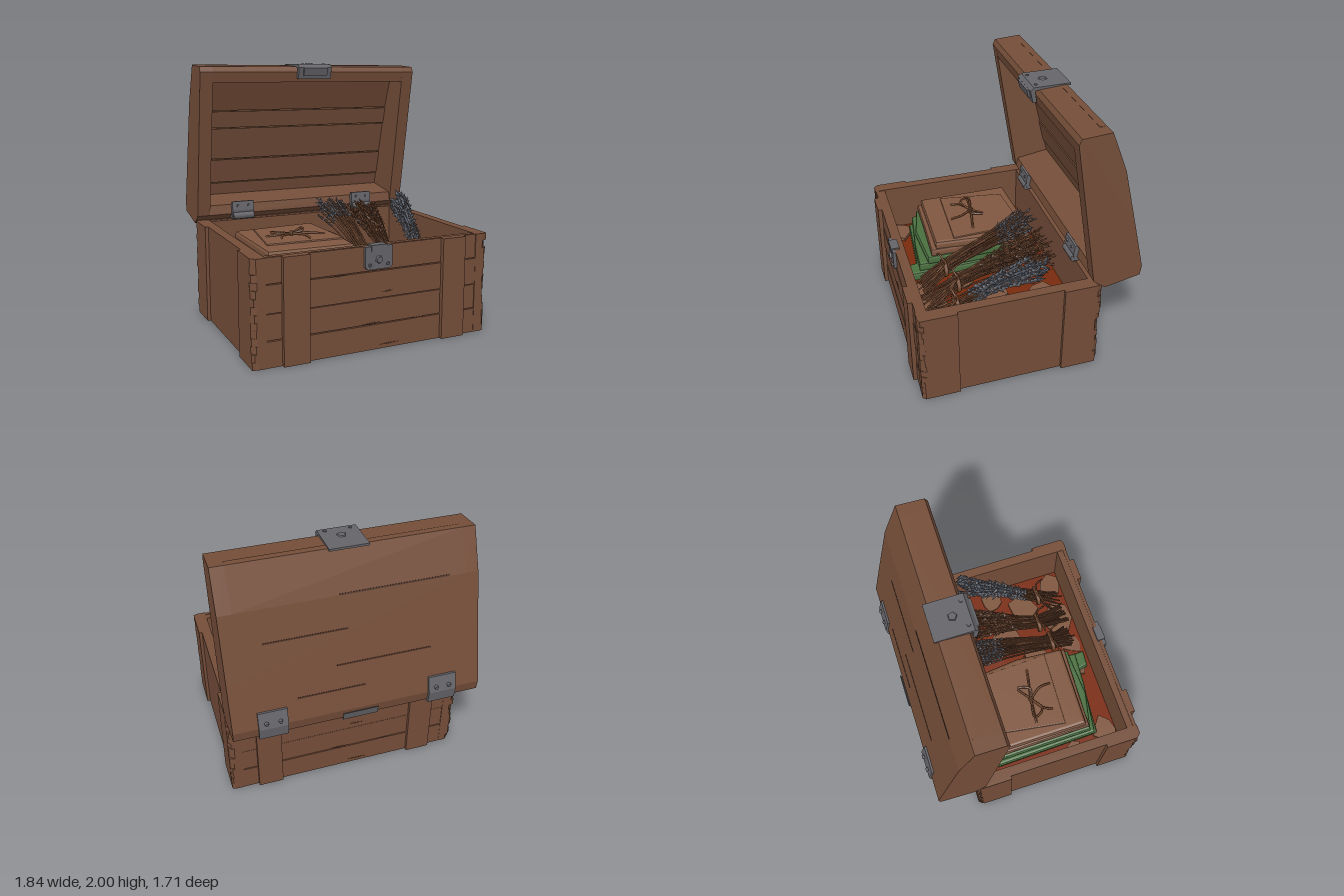
import * as THREE from 'three';
import { mergeGeometries } from 'three/addons/utils/BufferGeometryUtils.js';

const mat = (name, color) => Object.assign(new THREE.MeshStandardMaterial({ color }), { name });

export function createModel() {
  const wood = mat('wood', 0x754e39), darkWood = mat('crackedWood', 0x4a2f21);
  const metal = mat('iron', 0x65656a), paper = mat('wrappingPaper', 0x805740);
  const green = mat('greenCloth', 0x4b7040), red = mat('redLining', 0x7a2a0c);
  const stemMat = mat('driedStems', 0x68432e), flowerMat = mat('greyFlowers', 0x626874);
  const twine = mat('twine', 0x74492f);
  const root = new THREE.Group();
  root.name = 'openChest';

  let seed = 7;
  const rnd = () => (seed = (seed * 16807) % 2147483647) / 2147483647;
  const jit = (a) => (rnd() - 0.5) * 2 * a;
  const V = (x, y, z) => new THREE.Vector3(x, y, z);

  const group = (name, parent = root) => {
    const g = new THREE.Group();
    g.name = name;
    parent.add(g);
    return g;
  };
  const add = (parent, name, geo, m) => {
    const mesh = new THREE.Mesh(geo, m);
    mesh.name = name;
    parent.add(mesh);
    return mesh;
  };
  // box from its limits
  const box = (x0, x1, y0, y1, z0, z1) => new THREE.BoxGeometry(x1 - x0, y1 - y0, z1 - z0)
    .translate((x0 + x1) / 2, (y0 + y1) / 2, (z0 + z1) / 2);
  const shapeOf = (pts) => new THREE.Shape(pts.map(([a, b]) => new THREE.Vector2(a, b)));
  // [z, y] profile swept along x
  const prism = (pts, x0, x1) => new THREE.ExtrudeGeometry(shapeOf(pts.map(([z, y]) => [-z, y])),
    { depth: x1 - x0, bevelEnabled: false }).rotateY(Math.PI / 2).translate(x0, 0, 0);
  // [x, z] outline raised from y0 to y1
  const slab = (pts, y0, y1, bevel = 0) => new THREE.ExtrudeGeometry(shapeOf(pts.map(([x, z]) => [x, -z])),
    { depth: y1 - y0 - 2 * bevel, bevelEnabled: bevel > 0, bevelSize: bevel, bevelThickness: bevel, bevelOffset: -bevel, bevelSegments: 2 })
    .rotateX(-Math.PI / 2).translate(0, y0 + bevel, 0);
  const tube = (pts, r, seg = 8, sides = 5) =>
    new THREE.TubeGeometry(new THREE.CatmullRomCurve3(pts), seg, r, sides);

  // ---------- chest body ----------
  const body = group('body');
  add(body, 'base', box(-0.87, 0.87, 0.005, 0.1, -0.52, 0.8), wood);
  add(body, 'frontLining', box(-0.87, 0.87, 0.01, 0.75, 0.74, 0.8), wood);
  add(body, 'backLining', box(-0.87, 0.87, 0.01, 0.75, -0.52, -0.46), wood);
  for (const s of [-1, 1]) {
    const [a, b] = s > 0 ? [0.82, 0.895] : [-0.895, -0.82];
    add(body, 'sideWall', box(a, b, 0.005, 0.755, -0.5, 0.8), wood);
  }
  const seams = [0.005, 0.19, 0.375, 0.575, 0.755];
  for (let i = 0; i < 4; i++) {
    const y0 = seams[i] + (i ? 0.003 : 0), y1 = seams[i + 1] - (i < 3 ? 0.003 : 0);
    add(body, 'frontPlank', box(-0.86, 0.86, y0, y1, 0.79, 0.82 - 0.004 * (i % 2)), wood);
    add(body, 'backPlank', box(-0.86, 0.86, y0, y1, -0.535 + 0.004 * (i % 2), -0.51), wood);
  }
  for (const s of [-1, 1]) {
    const [a, b] = s > 0 ? [0.52, 0.71] : [-0.71, -0.52];
    add(body, 'frontStrip', box(a, b, 0.005, 0.755, 0.81, 0.85), wood);
    add(body, 'backStrip', box(a, b, 0.005, 0.755, -0.56, -0.52), wood);
    const [c, d] = s > 0 ? [0.88, 0.92] : [-0.92, -0.88];
    add(body, 'sideStrip', box(c, d, 0.005, 0.755, 0.54, 0.78), wood);
    add(body, 'sideStrip', box(c, d, 0.005, 0.755, -0.5, -0.25), wood);
    // splintered corner ends: stacked pieces with uneven chamfers
    for (const [zi, zo] of [[0.74, 0.822], [-0.46, -0.537]]) {
      const k = Math.sign(zo), n = 14, pieces = [];
      for (let i = 0; i < n; i++) {
        const c1 = 0.01 + rnd() * 0.035, c2 = 0.01 + rnd() * 0.035;
        const y0 = 0.005 + (0.75 * i) / n;
        pieces.push(slab([[s * 0.82, zi], [s * 0.92, zi], [s * 0.92, zo - k * c1],
          [s * (0.92 - c2), zo], [s * 0.82, zo]], y0, y0 + 0.75 / n));
      }
      add(body, 'splinteredCorner', mergeGeometries(pieces), wood);
    }
  }
  // thin wood cracks on front and back
  for (const [x, y, w] of [[-0.3, 0.57, 0.16], [0.08, 0.42, 0.1], [-0.05, 0.2, 0.14], [0.32, 0.19, 0.12], [0.1, 0.035, 0.15]]) {
    for (const [z, m] of [[0.821, 1], [-0.536, -1]]) {
      const g = new THREE.ExtrudeGeometry(shapeOf([[-w / 2, 0], [0, -0.007], [w / 2, 0.003], [0.01, 0.006]]), { depth: 0.002, bevelEnabled: false });
      add(body, 'crack', g.translate(x * m, y, z - 0.001), darkWood);
    }
  }

  // ---------- raised lid ----------
  const lid = group('lid');
  const outer = [[-0.5, 1.985], [-0.62, 1.69], [-0.74, 1.22], [-0.83, 0.86]];
  const backZ = (y) => {
    for (let i = 0; i < 3; i++) {
      const [z0, y0] = outer[i], [z1, y1] = outer[i + 1];
      if (y >= y1 || i === 2) return z0 + ((z1 - z0) * (y - y0)) / (y1 - y0);
    }
  };
  const front = [[-0.82, 0.785], [-0.55, 0.73], [-0.46, 0.8], [-0.27, 1.93], [-0.29, 1.97]];
  for (const [a, b] of [[-0.92, -0.82], [0.82, 0.92]]) add(lid, 'lidEnd', prism([...outer, ...front], a, b), wood);
  add(lid, 'lidShell', prism([...outer, ...[...outer].reverse().map(([z, y]) => [z + 0.05, y])], -0.82, 0.82), wood);
  add(lid, 'topRail', prism([[-0.27, 1.93], [-0.29, 1.97], [-0.5, 1.985], [-0.54, 1.88], [-0.285, 1.85]], -0.82, 0.82), wood);
  add(lid, 'bottomRail', prism([[-0.46, 0.8], [-0.475, 0.875], [-0.81, 0.93], [-0.83, 0.86], [-0.82, 0.785], [-0.55, 0.73]], -0.82, 0.82), wood);
  const inner = [0.9, 1.02, 1.22, 1.48, 1.62, 1.88];
  for (let i = 0; i < 5; i++) {
    const y0 = inner[i] + 0.004, y1 = inner[i + 1] - 0.004, t = 0.07 + 0.008 * (i % 2);
    add(lid, 'innerPlank', prism([[backZ(y0) + 0.04, y0], [backZ(y0) + t, y0], [backZ(y1) + t, y1], [backZ(y1) + 0.04, y1]], -0.82, 0.82), wood);
  }
  // grooves on the lid back
  for (const [x, y, w] of [[-0.3, 1.69, 0.8], [0.35, 1.45, 0.6], [-0.2, 1.2, 0.7], [0.2, 1.02, 0.5]]) {
    add(lid, 'groove', prism([[backZ(y) - 0.002, y], [backZ(y + 0.01) - 0.002, y + 0.01], [backZ(y + 0.01) + 0.004, y + 0.01], [backZ(y) + 0.004, y]], x - w / 2, x + w / 2), darkWood);
  }

  // ---------- iron fittings ----------
  const iron = group('ironFittings');
  const rivet = (x, y, z, r, axis) => {
    const g = new THREE.CylinderGeometry(r * 0.75, r, 0.02, 5);
    if (axis === 'z') g.rotateX(Math.PI / 2);
    if (axis === '-z') g.rotateX(-Math.PI / 2);
    add(iron, 'rivet', g.translate(x, y, z), metal);
  };
  // lock plate
  const plate = shapeOf([[-0.105, 0.755], [-0.105, 0.61], [-0.085, 0.592], [0.085, 0.592], [0.105, 0.61], [0.105, 0.755]]);
  add(iron, 'lockPlate', new THREE.ExtrudeGeometry(plate, { depth: 0.025, bevelEnabled: false }).translate(0, 0, 0.815), metal);
  add(iron, 'lockLip', box(-0.06, 0.06, 0.72, 0.765, 0.78, 0.845), metal);
  rivet(0, 0.66, 0.845, 0.032, 'z');
  for (const s of [-1, 1]) rivet(s * 0.07, 0.625, 0.842, 0.015, 'z');
  // clasp bent over the lid edge
  add(iron, 'clasp', prism([[-0.53, 1.978], [-0.53, 1.994], [-0.25, 1.99], [-0.225, 1.965], [-0.245, 1.875], [-0.275, 1.875], [-0.26, 1.965]], -0.14, 0.14), metal);
  add(iron, 'claspHasp', prism([[-0.23, 1.965], [-0.21, 1.96], [-0.225, 1.9], [-0.25, 1.9]], -0.1, 0.1), metal);
  rivet(0, 1.99, -0.365, 0.04, 'y');
  for (const s of [-1, 1]) rivet(s * 0.09, 1.985, -0.28, 0.018, 'y');
  add(iron, 'lidUnderPlate', prism([[-0.6, 0.732], [-0.6, 0.745], [-0.83, 0.79], [-0.838, 0.84], [-0.845, 0.84], [-0.83, 0.775]], -0.13, 0.13), metal);
  add(iron, 'backRing', new THREE.TorusGeometry(0.045, 0.012, 6, 12).scale(1.3, 0.8, 1).translate(0, 0.66, -0.55), metal);
  // hinges: inner leaves and outer straps
  for (const [xi, xo] of [[-0.55, -0.625], [0.52, 0.635]]) {
    add(iron, 'hingeLeaf', prism([[-0.46, 0.9], [-0.44, 0.9], [-0.43, 0.83], [-0.44, 0.765], [-0.5, 0.765], [-0.5, 0.8]], xi - 0.09, xi + 0.09), metal);
    add(iron, 'hingeBarrel', new THREE.CylinderGeometry(0.03, 0.03, 0.17, 8).rotateZ(Math.PI / 2).translate(xi, 0.785, -0.44), metal);
    add(iron, 'hingeStop', box(xi - 0.04, xi + 0.04, 0.66, 0.76, -0.555, -0.5), metal);
    for (const s of [-1, 1]) rivet(xi + s * 0.045, 0.865, -0.435, 0.014, 'z');
    add(iron, 'hingeStrap', prism([[-0.795, 0.98], [-0.815, 0.98], [-0.85, 0.86], [-0.84, 0.772], [-0.72, 0.748], [-0.72, 0.77], [-0.81, 0.79]], xo - 0.105, xo + 0.105), metal);
    for (const s of [-1, 1]) rivet(xo + s * 0.05, 0.9, -0.845, 0.018, '-z');
  }

  // ---------- contents ----------
  const contents = group('contents');
  add(contents, 'lining', box(-0.82, 0.82, 0.33, 0.36, -0.46, 0.74), red);
  // scattered scraps on the lining
  for (const [x, z, r] of [[-0.7, 0.64, 0.12], [-0.78, 0.35, 0.07], [-0.1, 0.62, 0.1], [0.12, 0.65, 0.1], [0.38, 0.6, 0.14],
    [0.7, 0.66, 0.12], [0.55, 0.35, 0.13], [0.3, 0.1, 0.14], [0.7, 0.1, 0.1], [0.1, 0.3, 0.12], [0.45, -0.25, 0.14]]) {
    const pts = [];
    for (let i = 0; i < 7; i++) {
      const a = (i / 7) * Math.PI * 2, q = r * (0.65 + rnd() * 0.5);
      pts.push([Math.max(-0.815, Math.min(0.815, x + Math.cos(a) * q)), Math.min(0.735, z + Math.sin(a) * q)]);
    }
    add(contents, 'paperScrap', slab(pts, 0.36, 0.368 + rnd() * 0.02), paper);
  }
  // folded cloth below a wrapped parcel
  const cloth = [
    [[-0.73, -0.3], [-0.02, -0.3], [0.0, 0.71], [-0.13, 0.7], [-0.15, 0.62], [-0.71, 0.57]],
    [[-0.74, -0.3], [-0.03, -0.3], [-0.02, 0.62], [-0.3, 0.6], [-0.72, 0.54]],
    [[-0.71, -0.3], [0.0, -0.3], [0.0, 0.55], [-0.4, 0.57], [-0.7, 0.5]]];
  cloth.forEach((p, i) => add(contents, 'foldedCloth', slab(p, 0.36 + i * 0.07, 0.435 + i * 0.07, 0.02), green));
  add(contents, 'parcelLower', slab([[-0.69, -0.29], [0.01, -0.3], [0.0, 0.52], [-0.4, 0.5], [-0.68, 0.49]], 0.57, 0.64, 0.02), paper);
  add(contents, 'parcelUpper', slab([[-0.67, -0.28], [-0.02, -0.3], [0.02, 0.1], [-0.01, 0.48], [-0.67, 0.46]], 0.62, 0.7, 0.025), paper);
  add(contents, 'parcelFold', slab([[-0.54, -0.22], [-0.04, -0.25], [-0.02, 0.33], [-0.62, 0.3]], 0.69, 0.712, 0.008), paper);
  const c = V(-0.35, 0.725, 0.1);
  const bow = group('twineBow', contents);
  for (const ends of [[[-0.2, -0.02], [-0.14, 0.06]], [[0.14, -0.08], [0.1, 0.02]]]) {
    const [p, q] = ends.map(([x, z]) => c.clone().add(V(x * 0.8, 0.02, z)));
    add(bow, 'bowLoop', tube([c, p, q, c], 0.009, 16), twine);
  }
  add(bow, 'bowTail', tube([c, V(-0.28, 0.73, 0.2), V(-0.27, 0.72, 0.29)], 0.009), twine);
  add(bow, 'bowTail', tube([c, V(-0.45, 0.73, 0.17), V(-0.48, 0.72, 0.24)], 0.009), twine);
  add(bow, 'twineBand', tube([V(-0.55, 0.715, 0.08), c, V(-0.15, 0.72, 0.14), V(0.03, 0.66, 0.17)], 0.009), twine);
  add(bow, 'bowKnot', new THREE.IcosahedronGeometry(0.025, 0).translate(c.x, c.y, c.z), twine);

  // tied bundles of dried plants: stems fan out past the tie, buds cover the tips
  const bundle = (name, base, tie, tip, fan, n, budFrom, budR, budMat) => {
    const g = group(name, contents), stems = [], buds = [];
    for (let i = 0; i < n; i++) {
      const u = jit(1), v = jit(1);
      const end = tip.clone().add(V(u * fan, v * 0.07, jit(0.08)));
      const curve = new THREE.CatmullRomCurve3([base.clone().add(V(u * 0.09, v * 0.03, jit(0.06))),
        tie.clone().add(V(u * 0.055, v * 0.04, 0)), tie.clone().lerp(end, 0.55).add(V(jit(0.02), 0.02, 0)), end]);
      stems.push(new THREE.TubeGeometry(curve, 7, 0.0075, 4));
      for (let t = budFrom; t <= 1; t += 0.035) {
        const dir = curve.getTangentAt(Math.min(t, 1)).add(V(jit(0.8), jit(0.6), jit(0.5))).normalize();
        const bud = new THREE.ConeGeometry(budR * (0.7 + rnd() * 0.5), budR * 4.5, 4).translate(0, budR * 1.5, 0);
        bud.applyQuaternion(new THREE.Quaternion().setFromUnitVectors(V(0, 1, 0), dir));
        const p = curve.getPointAt(t);
        buds.push(bud.translate(p.x, p.y, p.z));
      }
    }
    add(g, 'stems', mergeGeometries(stems), stemMat);
    add(g, 'buds', mergeGeometries(buds), budMat);
    const ring = add(g, 'tie', new THREE.TorusGeometry(0.07, 0.012, 5, 14), twine);
    ring.position.copy(tie);
    ring.scale.set(1.1, 0.85, 1.4);
    for (const s of [-1, 1]) {
      add(g, 'tieEnd', tube([tie.clone().add(V(0, 0.06, 0)), tie.clone().add(V(s * 0.07, 0.085, 0.02)), tie.clone().add(V(s * 0.11, 0.05, 0.06 + s * 0.03))], 0.008), twine);
    }
  };
  bundle('slenderBundle', V(0.17, 0.44, 0.62), V(0.13, 0.55, 0.45), V(0.12, 0.84, -0.22), 0.11, 34, 0.78, 0.011, flowerMat);
  bundle('leafyBundle', V(0.38, 0.44, 0.64), V(0.33, 0.54, 0.4), V(0.4, 0.8, -0.24), 0.17, 36, 0.58, 0.013, stemMat);
  bundle('flowerBundle', V(0.52, 0.44, 0.64), V(0.57, 0.55, 0.47), V(0.71, 0.87, -0.12), 0.09, 24, 0.42, 0.015, flowerMat);
  return root;
}
